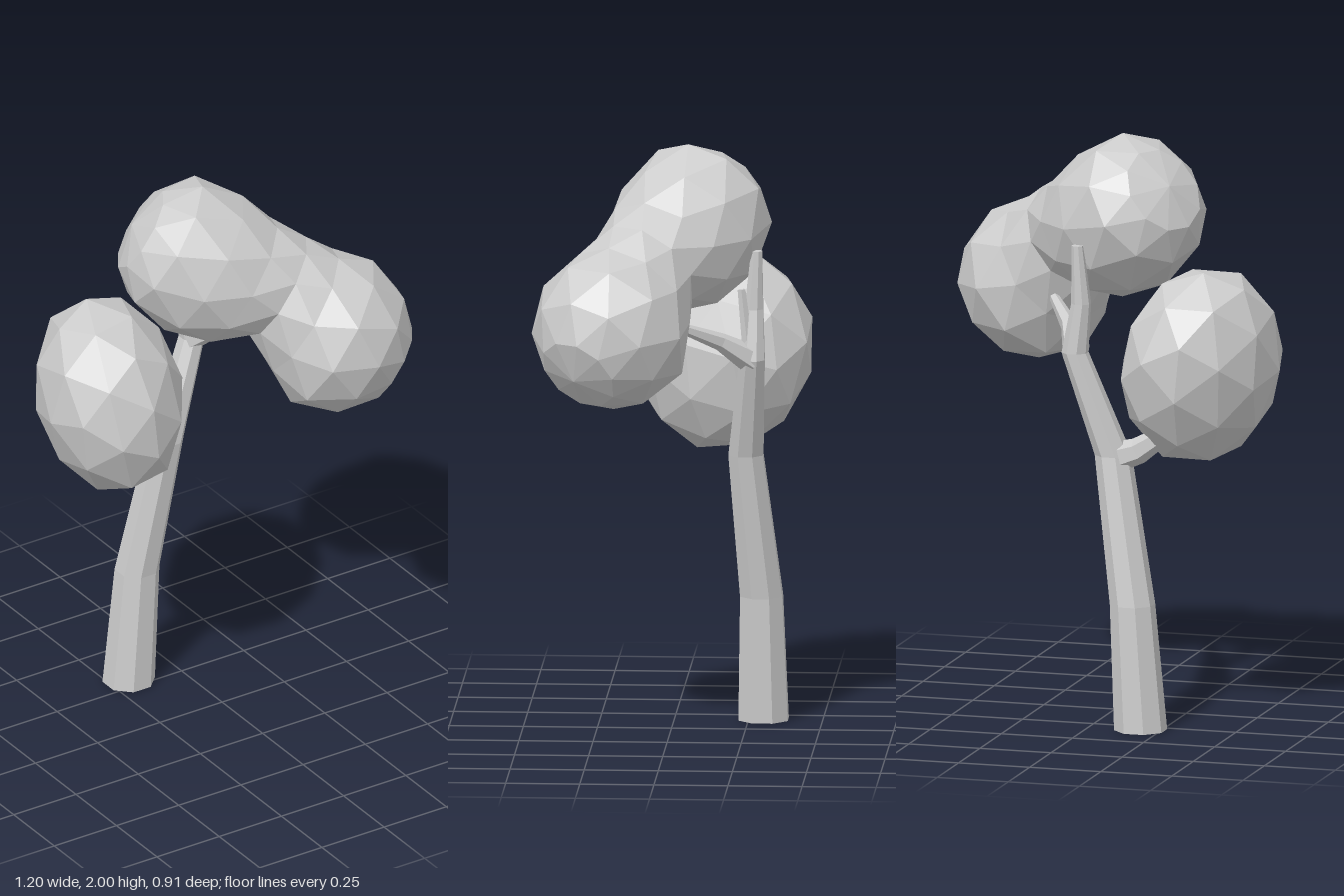
import * as THREE from 'three';

const material = new THREE.MeshStandardMaterial({ color: 0xcccccc, flatShading: true });

// Skin over rings [x, y, z, radius] lying square to one axis; stagger turns each ring half a step
function loft(name, rings, axis, sides, stagger = 0) {
  const n = axis.clone().normalize();
  const helper = Math.abs(n.y) > 0.9 ? new THREE.Vector3(0, 0, 1) : new THREE.Vector3(0, 1, 0);
  const u = new THREE.Vector3().crossVectors(helper, n).normalize();
  const v = new THREE.Vector3().crossVectors(n, u);
  const point = (i, j) => {
    const [x, y, z, r] = rings[i];
    const a = ((j + 0.5 + i * stagger) / sides) * Math.PI * 2;
    return new THREE.Vector3(x, y, z).addScaledVector(u, r * Math.cos(a)).addScaledVector(v, r * Math.sin(a));
  };
  const points = [];
  for (let i = 0; i < rings.length - 1; i++) {
    for (let j = 0; j < sides; j++) {
      const a = point(i, j), b = point(i, j + 1), c = point(i + 1, j + 1), d = point(i + 1, j);
      if (rings[i][3] > 0) points.push(a, b, d);
      if (rings[i + 1][3] > 0) points.push(b, c, d);
    }
  }
  const geometry = new THREE.BufferGeometry().setFromPoints(points);
  geometry.computeVertexNormals();
  const mesh = new THREE.Mesh(geometry, material);
  mesh.name = name;
  return mesh;
}

// Tapered limb through a few centres, closed at both ends
function limb(name, rings, sides, axis) {
  const first = rings[0], last = rings[rings.length - 1];
  const dir = axis || new THREE.Vector3(last[0] - first[0], last[1] - first[1], last[2] - first[2]);
  const closed = [[...first.slice(0, 3), 0], ...rings, [...last.slice(0, 3), 0]];
  return loft(name, closed, dir, sides);
}

export function createModel() {
  const tree = new THREE.Group();
  tree.name = 'tree';

  // Bent trunk with level rings
  tree.add(limb('trunk', [
    [-0.18, 0, -0.3, 0.09],
    [-0.15, 0.43, -0.295, 0.077],
    [-0.068, 0.93, -0.247, 0.063],
    [0.058, 1.28, -0.275, 0.046],
    [0.035, 1.45, -0.28, 0.034],
    [0.045, 1.65, -0.29, 0.02],
  ], 8, new THREE.Vector3(0, 1, 0)));

  // Branches reaching into the foliage
  tree.add(limb('lowerBranch', [[-0.07, 0.92, -0.25, 0.055], [-0.16, 0.95, -0.255, 0.045], [-0.31, 1.05, -0.27, 0.025]], 6));
  tree.add(limb('frontBranch', [[0.055, 1.28, -0.27, 0.05], [0.11, 1.35, -0.17, 0.03], [0.21, 1.42, -0.03, 0.016]], 6));
  tree.add(limb('twig', [[0.066, 1.32, -0.262, 0.02], [0.06, 1.52, -0.24, 0.014]], 5));

  // Lower egg-shaped foliage, leaning back
  const egg = new THREE.Mesh(new THREE.IcosahedronGeometry(1, 1).rotateY(0.45), material);
  egg.name = 'lowerFoliage';
  egg.scale.set(0.252, 0.348, 0.315);
  egg.rotation.set(-0.22, -0.4, 0.1);
  egg.position.set(-0.352, 1.237, -0.157);
  tree.add(egg);

  // Upper foliage: two lobes joined by a raised, narrower waist
  const start = new THREE.Vector3(-0.07, 1.72, -0.07);
  const end = new THREE.Vector3(0.35, 1.41, 0.195);
  const axis = end.clone().sub(start).normalize();
  const up = new THREE.Vector3(0, 1, 0).addScaledVector(axis, -axis.y).normalize();
  // distance along the axis, lift, radius
  const profile = [
    [-0.245, 0, 0], [-0.21, 0, 0.15], [-0.12, 0.01, 0.24], [0.04, 0, 0.264], [0.18, 0.01, 0.236],
    [0.3, 0.055, 0.192], [0.42, 0.02, 0.232], [0.55, 0, 0.278], [0.69, 0, 0.235], [0.785, 0, 0.14], [0.82, 0, 0],
  ];
  const rings = profile.map(([along, lift, radius]) => {
    const p = start.clone().addScaledVector(axis, along).addScaledVector(up, lift);
    return [p.x, p.y, p.z, radius];
  });
  tree.add(loft('upperFoliage', rings, axis, 10, 0.5));

  return tree;
}
